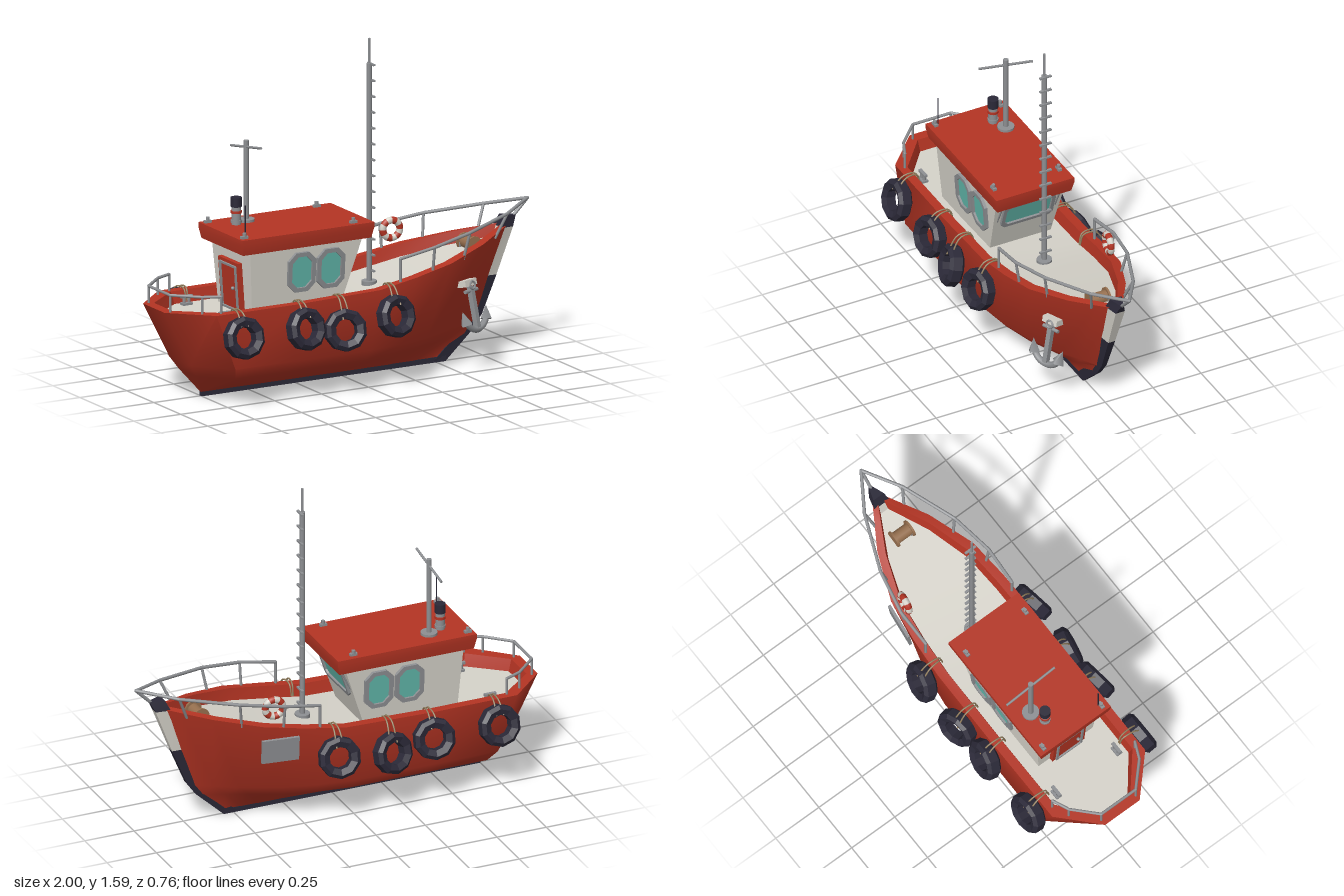
import * as THREE from 'three';
import { toCreasedNormals } from 'three/addons/utils/BufferGeometryUtils.js';

const mat = (color, flatShading = false) =>
  new THREE.MeshStandardMaterial({ color, flatShading, side: THREE.DoubleSide });
const RED = mat(0xb43423), DARK = mat(0x2b2938), RUBBER = mat(0x2b2938, true), WHITE = mat(0xd6d3ca),
  METAL = mat(0x8e9093), GLASS = mat(0x62b8ab), ROPE = mat(0x94805f), WOOD = mat(0x97704f);
const V = (x, y, z) => new THREE.Vector3(x, y, z);

function add(parent, name, geo, material, pos = [0, 0, 0], rot = [0, 0, 0]) {
  const m = new THREE.Mesh(geo, material);
  m.name = name;
  m.position.set(...pos);
  m.rotation.set(...rot, 'YXZ');
  parent.add(m);
  return m;
}
function group(parent, name, pos = [0, 0, 0], rot = [0, 0, 0]) {
  const g = new THREE.Group();
  g.name = name;
  g.position.set(...pos);
  g.rotation.set(...rot, 'YXZ');
  parent.add(g);
  return g;
}
// Round bar between two points
function bar(parent, name, a, b, r, material = METAL) {
  const A = V(...a), B = V(...b), d = B.clone().sub(A);
  const m = add(parent, name, new THREE.CylinderGeometry(r, r, d.length(), 8), material);
  m.position.copy(A).add(B).multiplyScalar(0.5);
  m.quaternion.setFromUnitVectors(V(0, 1, 0), d.normalize());
}
const disc = (parent, name, r, h, pos, material = METAL, sides = 16) =>
  add(parent, name, new THREE.CylinderGeometry(r, r, h, sides), material, pos);
const box = (parent, name, size, pos, material, rot) =>
  add(parent, name, new THREE.BoxGeometry(...size), material, pos, rot);

// Skin closed rings of equal length
function loft(rings, crease = 0.4) {
  const n = rings[0].length, idx = [];
  for (let j = 0; j < rings.length - 1; j++)
    for (let i = 0; i < n; i++) {
      const a = j * n + i, b = j * n + (i + 1) % n;
      idx.push(a, b, b + n, a, b + n, a + n);
    }
  const g = new THREE.BufferGeometry().setFromPoints(rings.flat());
  g.setIndex(idx);
  return toCreasedNormals(g, crease);
}
const ringOf = half => [...half, ...half.map(p => V(p.x, p.y, -p.z)).reverse()];
const flat = ring => ring.map(p => V(p.x, p.y, 0));
const rect = (x0, x1, y, z) => ringOf([V(x0, y, z), V(x1, y, z)]);

const sheer = x => 0.45 + 0.17 * Math.pow(Math.max(0, (x + 0.05) / 0.95), 1.2);
const DECK_DROP = 0.058;

function buildHull(boat) {
  const keel = [-.75, -.65, -.4, 0, .12, .25, .38, .46, .54].map(x => V(x, .02, .008));
  const level = (y, pts) => pts.map(([x, z]) => V(x, y, z));
  const bilge = level(.12, [[-.82, .08], [-.69, .22], [-.4, .22], [0, .22], [.15, .2], [.3, .16], [.46, .09], [.56, .045], [.66, .008]]);
  const chine = level(.18, [[-.86, .1], [-.72, .27], [-.4, .27], [0, .27], [.18, .245], [.34, .2], [.52, .12], [.62, .06], [.71, .008]]);
  const top = [[-1, .1], [-.82, .27], [-.4, .272], [.05, .272], [.25, .262], [.45, .238], [.67, .15], [.8, .07], [.9, .008]]
    .map(([x, z]) => V(x, sheer(x), z));
  const inset = (sx, sz, drop) => ringOf(top.map(p => V(p.x * sx, p.y - drop, p.z * sz)));
  const deck = inset(.935, .79, DECK_DROP);
  add(boat, 'hull', loft([keel, bilge, chine, top].map(ringOf), 0.9), RED);
  add(boat, 'bulwark', loft([ringOf(top), inset(.95, .84, 0), deck]), RED);
  add(boat, 'deck', loft([deck, flat(deck)]), WHITE);
  box(boat, 'keel', [1.3, .025, .022], [-.1, .0125, 0], DARK);

  // Stem: x, y, half width at the back, half width at the front
  const stem = [[.55, 0, .012, .008], [.69, .13, .017, .01], [.74, .2, .021, .013], [.815, .38, .03, .018],
    [.9, .6, .043, .024], [.925, .65, .03, .006]];
  const rings = stem.map(([x, y, w, f]) => ringOf([V(x - .068, y + .005, w), V(x, y, f)]));
  const piece = (name, a, b, m) => {
    const r = rings.slice(a, b + 1);
    add(boat, name, loft([flat(r[0]), ...r, flat(r[r.length - 1])]), m);
  };
  piece('lowerStem', 0, 3, DARK);
  piece('upperStem', 3, 4, WHITE);
  piece('stemCap', 4, 5, DARK);
}

// Rectangle with cut corners
function cutRect(w, h, c, Type = THREE.Shape) {
  const x = w / 2, y = h / 2;
  return new Type([[c - x, -y], [x - c, -y], [x, c - y], [x, y - c], [x - c, y], [c - x, y], [-x, y - c], [-x, c - y]]
    .map(p => new THREE.Vector2(...p)));
}
const extrude = (shape, depth) => new THREE.ExtrudeGeometry(shape, { depth, bevelEnabled: false });
function framed(parent, name, w, h, c, b, pos, rot, fill) {
  const g = group(parent, name, pos, rot);
  const frame = cutRect(w, h, c);
  frame.holes.push(cutRect(w - 2 * b, h - 2 * b, c * .8, THREE.Path));
  add(g, 'frame', extrude(frame, .022), METAL, [0, 0, -.008]);
  add(g, 'panel', extrude(cutRect(w - b, h - b, c * .8), .012), fill, [0, 0, -.008]);
  return g;
}

function buildCabin(boat) {
  const cabin = group(boat, 'cabin');
  add(cabin, 'cabinWalls', loft([rect(-.565, -.105, .36, .155), rect(-.59, .015, .72, .181)]), WHITE);
  const ceiling = rect(-.61, .03, .72, .18), roofTop = rect(-.645, .058, .77, .203);
  add(cabin, 'roof', loft([flat(ceiling), ceiling, rect(-.62, .035, .695, .182), rect(-.635, .047, .695, .193),
    rect(-.645, .058, .745, .203), roofTop, flat(roofTop)]), RED);
  for (const s of [1, -1]) {
    for (const x of [-.315, -.16])
      framed(cabin, 'sideWindow', .145, .19, .038, .02, [x, .575, s * .171], [.075, s > 0 ? 0 : Math.PI, 0], GLASS);
    bar(cabin, 'roofStay', [.025, .7, s * .15], [-.075, .5, s * .15], .004);
    for (const x of [-.615, -.035]) {
      box(cabin, 'lampBase', [.035, .012, .018], [x, .776, s * .17], METAL);
      disc(cabin, 'roofLamp', .009, .02, [x, .787, s * .17], METAL, 8);
    }
  }
  framed(cabin, 'frontWindow', .27, .15, .02, .018, [-.022, .613, 0], [.32, Math.PI / 2, 0], GLASS);
  const door = framed(cabin, 'door', .15, .22, .003, .01, [-.59, .505, 0], [.07, -Math.PI / 2, 0], RED);
  box(door, 'doorSurround', [.185, .25, .024], [0, 0, -.006], RED);
  add(door, 'doorKnob', new THREE.SphereGeometry(.009, 8, 6), METAL, [.045, 0, .015]);

  // Roof fittings
  disc(cabin, 'poleBase', .04, .012, [-.445, .776, -.11]);
  bar(cabin, 'roofPole', [-.445, .77, -.11], [-.445, 1.155, -.11], .013);
  bar(cabin, 'crossBar', [-.445, 1.147, .03], [-.445, 1.1, -.25], .006);
  disc(cabin, 'exhaustPipe', .022, .1, [-.515, .81, -.08]);
  for (const y of [.785, .83]) disc(cabin, 'exhaustBand', .026, .012, [-.515, y, -.08], y > .8 ? RED : METAL);
  disc(cabin, 'exhaustCap', .026, .045, [-.515, .877, -.08], DARK);
  bar(cabin, 'antenna', [-.605, .77, .16], [-.605, .925, .16], .003, DARK);
}

function buildMast(boat) {
  const mast = group(boat, 'mast', [.147, 0, 0]);
  disc(mast, 'mastBase', .036, .02, [0, .425, 0]);
  bar(mast, 'mastPole', [0, .4, 0], [0, 1.47, 0], .013);
  bar(mast, 'mastTip', [0, 1.46, 0], [0, 1.59, 0], .006);
  for (let i = 0; i < 14; i++)
    box(mast, 'rung', [.012, .008, .06], [.011, 1.465 - i * .0756, 0], METAL);
}

function buildRails(boat) {
  const rails = group(boat, 'rails');
  for (const s of [1, -1]) {
    const run = (name, pts, r) => {
      for (let i = 0; i < pts.length - 1; i++) {
        const [a, b] = [pts[i], pts[i + 1]].map(([x, y, z]) => [x, y, z * s]);
        bar(rails, name, a, b, r);
        add(rails, 'railJoint', new THREE.SphereGeometry(r, 8, 6), METAL, b);
      }
    };
    const bow = [[.17, .59, .25], [.35, .622, .255], [.56, .655, .215], [.82, .69, .11], [.99, .72, 0]];
    run('bowRail', bow, .008);
    [[.17, .25], [.35, .235], [.54, .19], [.77, .082]].forEach(([x, z], i) =>
      run('bowPost', [[x, sheer(x) - .02, z], bow[i]], .007));
    const stern = [[-.78, .53, .24], [-.86, .53, .205], [-.97, .53, .1], [-.97, .53, 0]];
    run('sternRail', stern, .007);
    for (const p of stern.slice(0, 3)) run('sternPost', [[p[0], .44, p[2]], p], .006);
  }
  bar(rails, 'bowStrut', [.9, .63, 0], [.99, .72, 0], .008);
}

function buildTyres(boat) {
  const profile = [[.053, -.024], [.082, -.036], [.1, -.022], [.1, .022], [.082, .036], [.053, .024], [.053, -.024]]
    .map(p => new THREE.Vector2(...p));
  const geo = new THREE.LatheGeometry(profile, 10).rotateX(Math.PI / 2);
  for (const s of [1, -1])
    for (const [x, y, yaw] of [[-.705, .342, 0], [-.375, .342, .13], [-.165, .31, -.22], [.105, .342, .16]]) {
      add(boat, 'tyreFender', geo, RUBBER, [x, y, s * .322], [-.24, s > 0 ? yaw : Math.PI - yaw, 0]);
      const h = sheer(x) + .006;
      for (const d of [-1, 1]) {
        const path = new THREE.CatmullRomCurve3([V(x + d * .018, y + .055, s * .335), V(x + d * .012, h, s * .282),
          V(x + d * .007, h, s * .222), V(x + d * .004, h - .055, s * .206)]);
        add(boat, 'tyreRope', new THREE.TubeGeometry(path, 12, .004, 6), ROPE);
      }
    }
}

function buildGear(boat) {
  // Lifebuoy in alternating segments
  const buoy = group(boat, 'lifebuoy', [.385, .602, -.208], [0, -.15, 0]);
  for (let i = 0; i < 12; i++)
    add(buoy, 'buoySegment', new THREE.TorusGeometry(.042, .017, 8, 3, Math.PI / 6), i % 2 ? WHITE : RED,
      [0, 0, 0], [0, 0, i * Math.PI / 6]);

  // Winch on the foredeck
  const winch = group(boat, 'winch', [.68, .543, 0]);
  add(winch, 'drum', new THREE.CylinderGeometry(.03, .03, .085, 14), WOOD, [0, 0, 0], [Math.PI / 2, 0, 0]);
  for (const s of [1, -1]) {
    add(winch, 'drumFlange', new THREE.CylinderGeometry(.042, .042, .01, 14), WOOD, [0, 0, s * .045], [Math.PI / 2, 0, 0]);
    box(winch, 'winchFoot', [.06, .05, .012], [0, -.025, s * .04], METAL);
  }

  // Anchor and its bracket
  const anchor = group(boat, 'anchor', [.585, .3, .208], [-.22, .39, 0]);
  box(anchor, 'anchorBracket', [.085, .03, .07], [-.005, .113, -.022], WHITE);
  box(anchor, 'shank', [.024, .2, .026], [0, -.005, 0], METAL);
  bar(anchor, 'stock', [-.045, .075, 0], [.045, .075, 0], .009);
  add(anchor, 'anchorRing', new THREE.TorusGeometry(.018, .005, 6, 12), METAL, [0, .1, .015]);
  add(anchor, 'arms', new THREE.TorusGeometry(.082, .016, 6, 14, Math.PI * .8), METAL, [0, -.025, 0], [0, 0, Math.PI * 1.1]);
  for (const s of [1, -1])
    add(anchor, 'fluke', new THREE.ConeGeometry(.034, .065, 4), METAL, [s * .08, -.04, 0], [0, 0, -s * .25]);

  // Bow plate
  const plate = group(boat, 'bowPlate', [.37, .4, -.247], [.1, Math.PI - .13, 0]);
  box(plate, 'plate', [.18, .12, .014], [0, 0, 0], METAL);

  // Mooring cleats on the aft deck
  for (const s of [1, -1]) {
    box(boat, 'cleatBase', [.05, .012, .03], [-.725, .397, s * .175], METAL);
    for (const x of [-.738, -.712]) disc(boat, 'cleatPost', .008, .035, [x, .413, s * .175], METAL, 8);
    box(boat, 'cleatBar', [.06, .012, .016], [-.725, .432, s * .175], METAL);
  }
}

export function createModel() {
  const boat = new THREE.Group();
  boat.name = 'fishingBoat';
  buildHull(boat);
  buildCabin(boat);
  buildMast(boat);
  buildRails(boat);
  buildTyres(boat);
  buildGear(boat);
  return boat;
}
